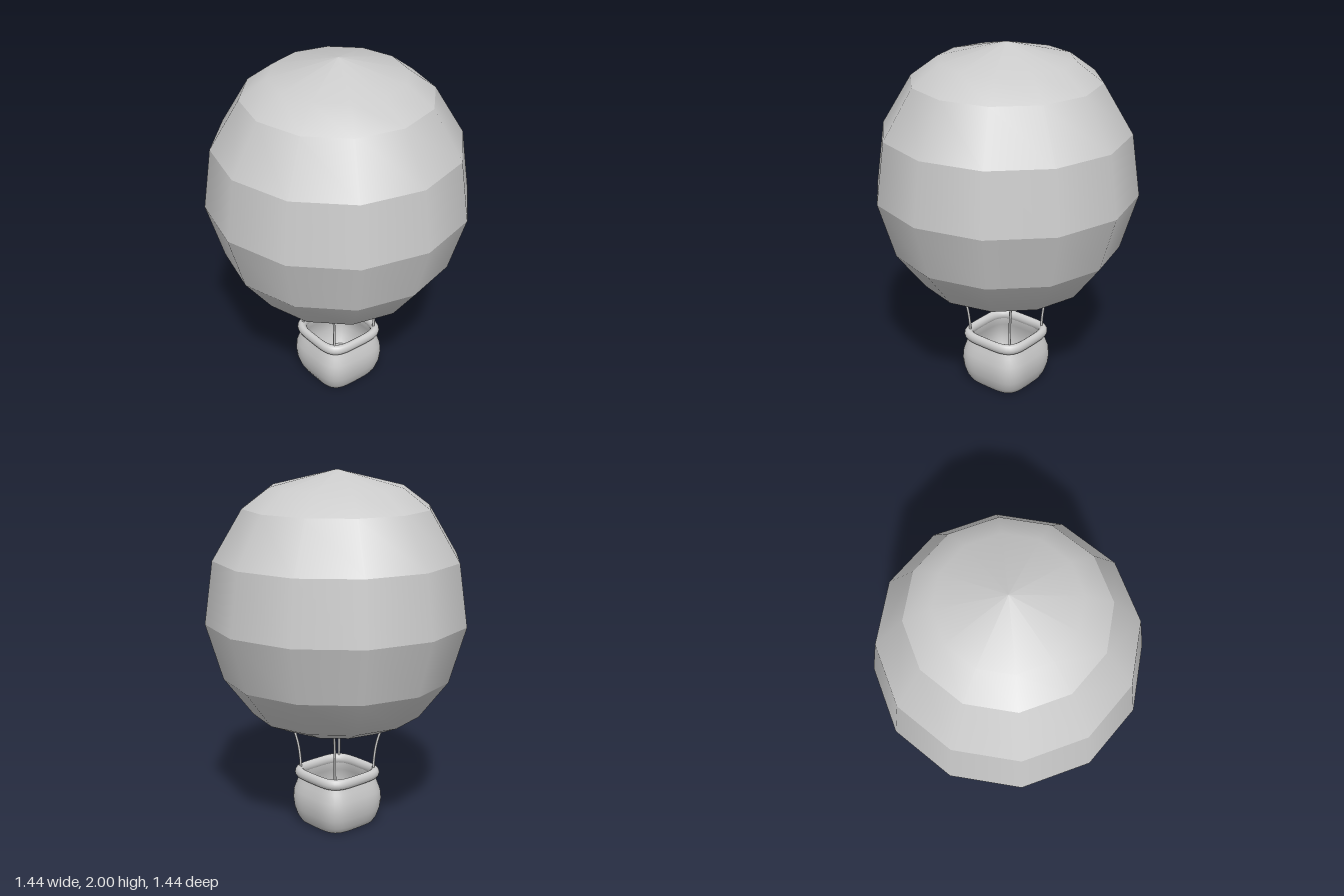
import * as THREE from 'three';
import { mergeVertices, toCreasedNormals } from 'three/addons/utils/BufferGeometryUtils.js';

const material = new THREE.MeshStandardMaterial({ color: 0xcccccc, side: THREE.DoubleSide });
const toPoints = (list) => list.map(([r, y]) => new THREE.Vector2(r, y));

function addMesh(parent, geometry, name) {
  const mesh = new THREE.Mesh(geometry, material);
  mesh.name = name;
  parent.add(mesh);
}

// Lathe whose round section is pushed out to a rounded square (superellipse)
function roundedSquareLathe(profile) {
  let g = new THREE.LatheGeometry(toPoints(profile), 64);
  const p = g.attributes.position;
  for (let i = 0; i < p.count; i++) {
    const x = p.getX(i), z = p.getZ(i), r = Math.hypot(x, z);
    if (r < 1e-6) continue;
    const k = 1 / Math.pow(Math.pow(Math.abs(x / r), 4) + Math.pow(Math.abs(z / r), 4), 0.25);
    p.setX(i, x * k);
    p.setZ(i, z * k);
  }
  g.deleteAttribute('uv');
  g.deleteAttribute('normal');
  g = mergeVertices(g, 1e-5);
  return toCreasedNormals(g, 0.75);
}

function createEnvelope() {
  const envelope = new THREE.Group();
  envelope.name = 'envelope';
  // Each band is smooth around, with hard edges between bands
  const bands = {
    ceiling: [[0, 0.66], [0.26, 0.66]].reverse(),
    collar: [[0.26, 0.66], [0.26, 0.597]],
    mouthRim: [[0.26, 0.597], [0.305, 0.597]],
    bottomBand: [[0.305, 0.597], [0.47, 0.67], [0.63, 0.88]],
    lowerBand: [[0.63, 0.88], [0.722, 1.19]],
    middleBand: [[0.722, 1.19], [0.675, 1.53]],
    upperBand: [[0.675, 1.53], [0.513, 1.8]],
    crown: [[0.513, 1.8], [0.365, 1.91], [0, 2]],
  };
  bands.ceiling.reverse();
  for (const [name, profile] of Object.entries(bands)) {
    addMesh(envelope, new THREE.LatheGeometry(toPoints(profile), 12), name);
  }
  return envelope;
}

function createBasket() {
  const basket = new THREE.Group();
  basket.name = 'basket';
  // Bulging outer wall with a flat bottom, then the inside wall and floor
  const outside = [[0, 0], [0.155, 0], [0.172, 0.008], [0.19, 0.04], [0.205, 0.09], [0.211, 0.145],
    [0.207, 0.195], [0.193, 0.24], [0.182, 0.275]];
  const inside = [[0.165, 0.31], [0.163, 0.27], [0.176, 0.23], [0.188, 0.18], [0.19, 0.13],
    [0.178, 0.07], [0.16, 0.03], [0, 0.03]];
  addMesh(basket, roundedSquareLathe(outside), 'basketWall');
  addMesh(basket, roundedSquareLathe(inside), 'basketLining');
  // Rolled rim: closed rounded section
  const rim = [];
  for (let i = 0; i <= 14; i++) {
    const a = (i / 14) * Math.PI * 2;
    rim.push([0.18 + 0.022 * Math.cos(a), 0.298 + 0.03 * Math.sin(a)]);
  }
  addMesh(basket, roundedSquareLathe(rim), 'basketRim');
  return basket;
}

export function createModel() {
  const model = new THREE.Group();
  model.name = 'hotAirBalloon';
  model.add(createEnvelope(), createBasket());

  // Four corner ropes, curving outward towards the mouth
  const path = [[0.146, 0.29], [0.147, 0.36], [0.156, 0.46], [0.172, 0.54], [0.19, 0.6], [0.2, 0.64]];
  for (const sx of [-1, 1]) {
    for (const sz of [-1, 1]) {
      const curve = new THREE.CatmullRomCurve3(path.map(([d, y]) => new THREE.Vector3(sx * d, y, sz * d)));
      addMesh(model, new THREE.TubeGeometry(curve, 20, 0.007, 8), 'rope');
    }
  }
  return model;
}
